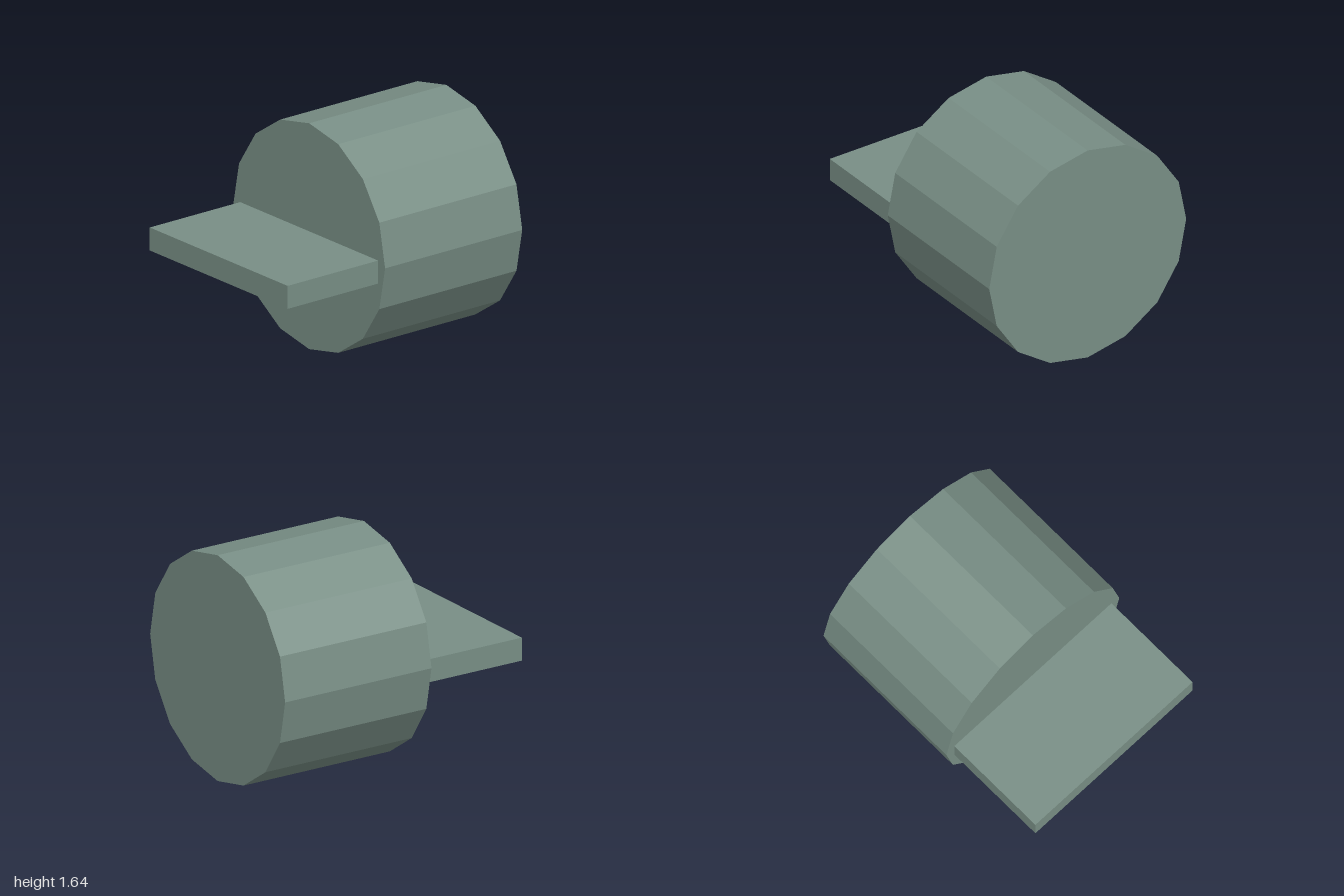
import * as THREE from 'three';

export function createModel() {
  const group = new THREE.Group();
  const greyGreen = new THREE.MeshStandardMaterial({ color: 0x788e85, flatShading: true });
  greyGreen.name = 'greyGreen';

  const radius = 0.82, back = -1, face = 0.205, front = 1;

  // Sixteen-sided drum lying along z, with a corner at the top
  const drumGeometry = new THREE.CylinderGeometry(radius, radius, face - back, 16);
  drumGeometry.rotateX(Math.PI / 2);
  const drum = new THREE.Mesh(drumGeometry, greyGreen);
  drum.name = 'drum';
  drum.position.set(0, radius, (face + back) / 2);
  group.add(drum);

  // Flat blade standing out from the front face, just below the axis
  const blade = new THREE.Mesh(new THREE.BoxGeometry(1.49, 0.167, front - face), greyGreen);
  blade.name = 'blade';
  blade.position.set(0, 0.772, (front + face) / 2);
  group.add(blade);

  return group;
}
